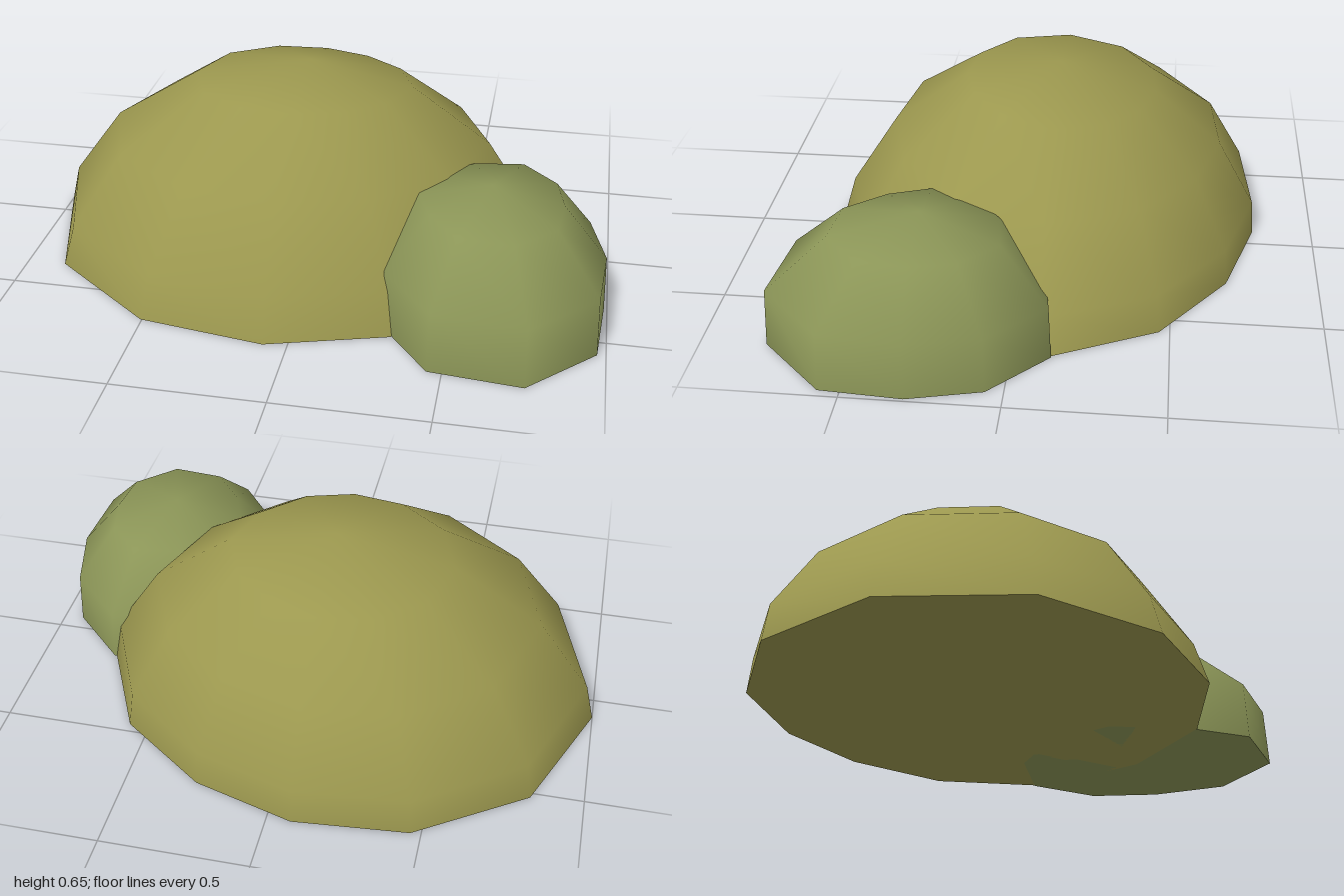
import * as THREE from 'three';

// Low-sided smooth dome on a flat base.
// radii: base radius per side, counterclockwise from +x seen from above.
// rings: [radius factor, height, widening towards the back, lift towards the front].
function dome(name, color, [cx, cz], top, radii, rings) {
  const n = radii.length;
  const shell = [cx, top, cz];
  const foot = [cx, 0, cz];
  const index = [];
  rings.forEach(([factor, y, widen, lift], r) => {
    radii.forEach((radius, j) => {
      const a = (j / n) * Math.PI * 2;
      const d = radius * (factor + widen * Math.sin(a));
      const p = [cx + d * Math.cos(a), y - lift * Math.sin(a), cz - d * Math.sin(a)];
      shell.push(...p);
      if (r === rings.length - 1) foot.push(...p);
      const k = (j + 1) % n;
      const low = 1 + r * n, up = low - n;
      if (r === 0) index.push(0, low + j, low + k);
      else index.push(up + j, low + j, low + k, up + j, low + k, up + k);
    });
  });

  // The base has its own vertices, so its rim stays sharp
  const start = shell.length / 3;
  for (let j = 0; j < n; j++) index.push(start, start + 1 + ((j + 1) % n), start + 1 + j);

  const geometry = new THREE.BufferGeometry();
  geometry.setAttribute('position', new THREE.Float32BufferAttribute([...shell, ...foot], 3));
  geometry.setIndex(index);
  geometry.computeVertexNormals();
  const mesh = new THREE.Mesh(geometry, new THREE.MeshStandardMaterial({ color }));
  mesh.name = name;
  return mesh;
}

export function createModel() {
  const group = new THREE.Group();
  group.name = 'mossMounds';

  // Wide main mound
  group.add(dome('largeMound', 0x9c984f, [-0.08, -0.09], 0.65,
    [0.83, 0.75, 0.69, 0.7, 0.77, 0.86, 0.92, 0.91, 0.85, 0.8, 0.79, 0.8],
    [[0.44, 0.573, 0.03, 0.02], [0.77, 0.38, 0.03, 0.02], [0.965, 0.135, 0.02, 0.01], [1, 0, 0, 0]]));

  // Smaller mound leaning into its front left side
  group.add(dome('smallMound', 0x8b9557, [0.6, 0.3], 0.43,
    [0.39, 0.41, 0.45, 0.41, 0.4, 0.4, 0.4, 0.48, 0.51, 0.46],
    [[0.6, 0.375, 0.02, 0], [0.98, 0.195, 0, 0.01], [1, 0, 0, 0]]));

  return group;
}
